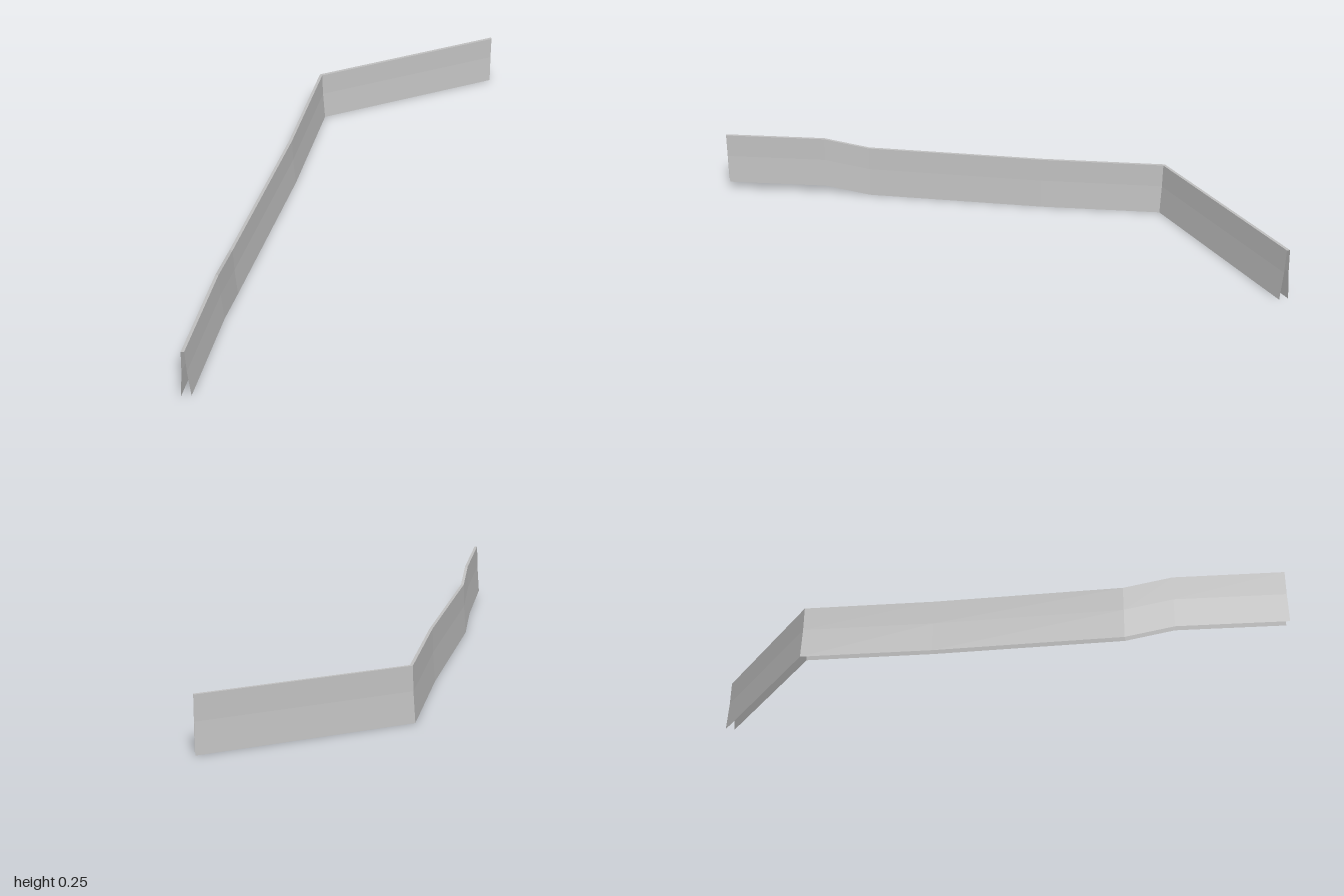
import * as THREE from 'three';

// Centreline of the barrier: x, z and ground height
const PATH = [
  [-0.725, 1.0, 0.037],
  [-0.585, 0.595, 0.037],
  [-0.525, 0.412, 0],
  [-0.24, -0.28, 0],
  [-0.065, -0.765, 0],
  [0.74, -0.982, 0],
];

// Cross-section, open underneath: sideways offset and height
const PROFILE = [
  [-0.018, 0], [-0.009, 0.12], [-0.006, 0.217],
  [0.006, 0.217], [0.009, 0.12], [0.018, 0],
];

// Unit normal of path segment i, pointing to the inner side of the bend
function segmentNormal(i) {
  const [x0, z0] = PATH[i], [x1, z1] = PATH[i + 1];
  return new THREE.Vector2(z0 - z1, x1 - x0).normalize();
}

// Sideways direction at a station: square-cut ends, mitred corners
function sideAt(i) {
  const last = PATH.length - 1;
  if (i === 0 || i === last) {
    const axis = i === 0 ? new THREE.Vector2(1, 0) : new THREE.Vector2(0, 1);
    return axis.divideScalar(axis.dot(segmentNormal(i === 0 ? 0 : last - 1)));
  }
  const n = segmentNormal(i);
  const m = segmentNormal(i - 1).add(n).normalize();
  return m.divideScalar(m.dot(n));
}

// Sweep the profile along the path
function barrierGeometry() {
  const positions = [], index = [], k = PROFILE.length;
  PATH.forEach(([x, z, y], i) => {
    const side = sideAt(i);
    for (const [w, h] of PROFILE) positions.push(x + side.x * w, y + h, z + side.y * w);
  });
  for (let i = 0; i < PATH.length - 1; i++) {
    for (let j = 0; j < k - 1; j++) {
      const a = i * k + j, b = a + k;
      index.push(a, a + 1, b, a + 1, b + 1, b);
    }
  }
  const indexed = new THREE.BufferGeometry();
  indexed.setAttribute('position', new THREE.Float32BufferAttribute(positions, 3));
  indexed.setIndex(index);
  const geometry = indexed.toNonIndexed();
  geometry.computeVertexNormals();
  return geometry;
}

export function createModel() {
  const group = new THREE.Group();
  group.name = 'barrier';

  const concrete = new THREE.MeshStandardMaterial({
    color: 0xc0c0c0, flatShading: true, side: THREE.DoubleSide,
  });
  concrete.name = 'light grey concrete';

  // Bent wall with open ends and underside
  const wall = new THREE.Mesh(barrierGeometry(), concrete);
  wall.name = 'barrierWall';
  group.add(wall);
  return group;
}
